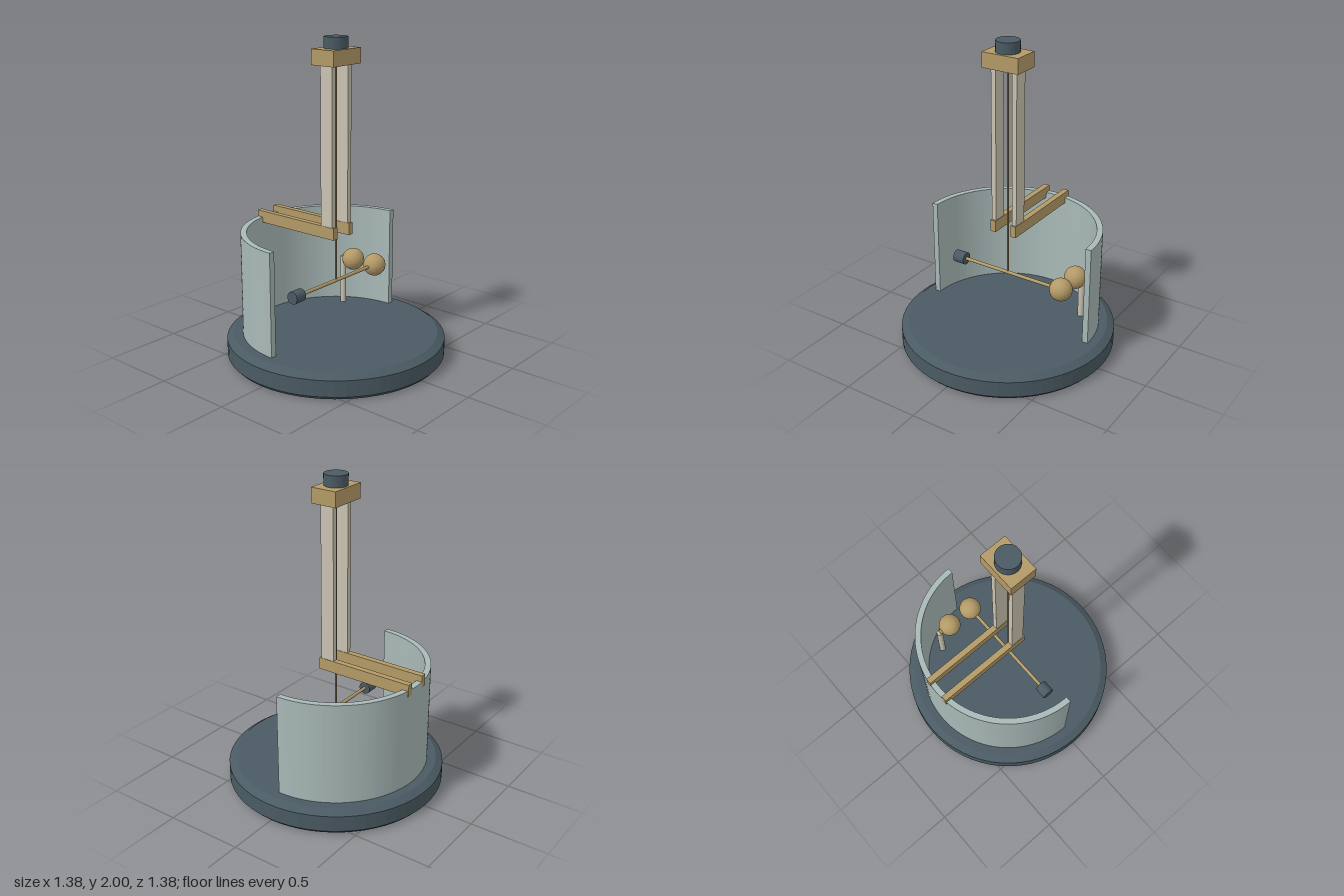
import * as THREE from 'three';

const mat = (color) => new THREE.MeshStandardMaterial({ color, flatShading: true });

export function createModel() {
  const group = new THREE.Group();
  const slate = mat(0x4a5a63);
  const brass = mat(0xb39a67);
  const shellGrey = mat(0xa8b9b7);
  const ivory = mat(0xc9c3b1);

  const add = (name, geometry, material, x = 0, y = 0, z = 0) => {
    const mesh = new THREE.Mesh(geometry, material);
    mesh.name = name;
    mesh.position.set(x, y, z);
    group.add(mesh);
    return mesh;
  };
  const rod = (r, length, sides) => new THREE.CylinderGeometry(r, r, length, sides);

  // Round base with chamfered rims
  const profile = [[0, 0], [0.67, 0], [0.69, 0.022], [0.69, 0.125], [0.645, 0.155], [0, 0.155]];
  add('base', new THREE.LatheGeometry(profile.map(([x, y]) => new THREE.Vector2(x, y)), 64), slate);

  // Half-round shield wall behind the beam
  const arc = new THREE.Shape();
  arc.absarc(0, 0, 0.59, 0, Math.PI, false);
  arc.absarc(0, 0, 0.552, Math.PI, 0, true);
  const wall = new THREE.ExtrudeGeometry(arc, { depth: 0.66, bevelEnabled: false, curveSegments: 32 });
  wall.rotateX(-Math.PI / 2);
  add('shieldWall', wall, shellGrey, 0, 0.15, 0);

  // Paired rails on the wall, each carrying an upright
  for (const side of [-1, 1]) {
    const label = side > 0 ? 'left' : 'right';
    add(label + 'Rail', new THREE.BoxGeometry(0.038, 0.076, 0.645), brass, side * 0.074, 0.812, -0.265);
    add(label + 'Upright', new THREE.BoxGeometry(0.032, 0.99, 0.09), ivory, side * 0.074, 1.343, 0);
  }

  // Head block and torsion knob
  add('headBlock', new THREE.BoxGeometry(0.25, 0.095, 0.174), brass, 0, 1.883, 0);
  add('torsionKnob', rod(0.073, 0.072, 32), slate, 0, 1.964, 0);

  // Suspension fibre and hanging beam
  const beamY = 0.478;
  add('fibre', rod(0.005, 1.38, 8), brass, 0, beamY + 0.69, 0);
  add('beam', rod(0.011, 0.75, 12), brass, 0.02, beamY, 0).rotation.z = Math.PI / 2;
  add('counterweight', rod(0.04, 0.08, 20), slate, -0.364, beamY, 0).rotation.z = Math.PI / 2;

  // Moving and fixed balls
  const ball = new THREE.SphereGeometry(0.073, 24, 16);
  add('movingBall', ball, brass, 0.391, beamY, 0);
  add('fixedBall', ball, brass, 0.391, beamY, -0.18);

  // Stand holding the fixed ball
  add('ballPeg', rod(0.017, 0.087, 12), brass, 0.391, beamY, -0.2235).rotation.x = Math.PI / 2;
  add('ballStand', rod(0.02, 0.33, 16), ivory, 0.391, 0.315, -0.267);

  return group;
}
